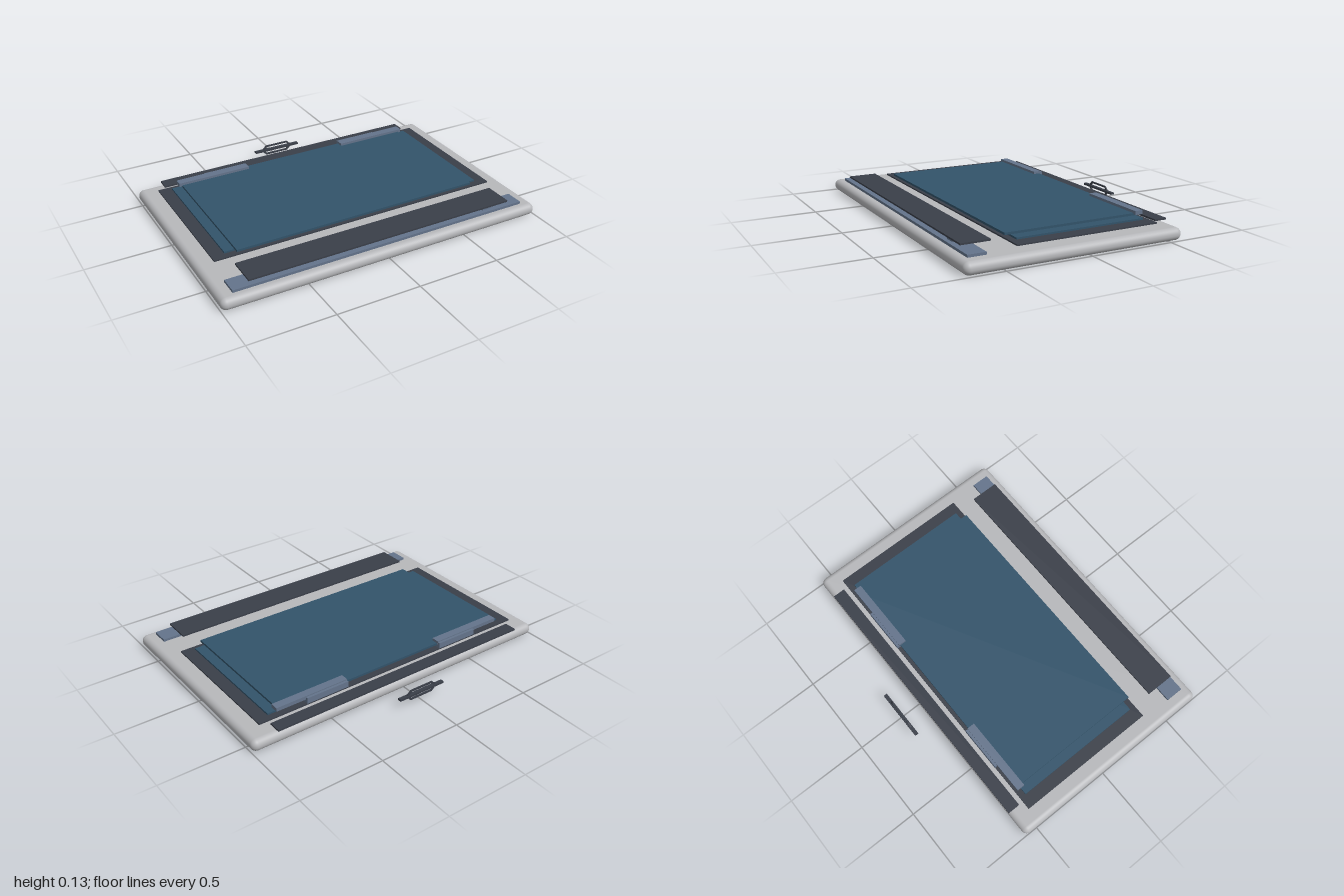
import * as THREE from 'three';
import { RoundedBoxGeometry } from 'three/addons/geometries/RoundedBoxGeometry.js';

export function createModel() {
  const model = new THREE.Group();
  model.name = 'deviceAssembly';

  const material = (name, color) => {
    const m = new THREE.MeshStandardMaterial({ color });
    m.name = name;
    return m;
  };
  const silver = material('silver', 0xb7b8bb);
  const charcoal = material('charcoal', 0x3a3f49);
  const glass = material('blueGlass', 0x32536a);
  const slate = material('slate', 0x64748b);

  const add = (name, geometry, mat) => {
    const mesh = new THREE.Mesh(geometry, mat);
    mesh.name = name;
    model.add(mesh);
    return mesh;
  };
  // Box given by its limits on each axis
  const box = (name, mat, [x0, x1], [y0, y1], [z0, z1]) => {
    const mesh = add(name, new THREE.BoxGeometry(x1 - x0, y1 - y0, z1 - z0), mat);
    mesh.position.set((x0 + x1) / 2, (y0 + y1) / 2, (z0 + z1) / 2);
    return mesh;
  };

  // Body slab with rounded rim
  const body = add('body', new RoundedBoxGeometry(2, 0.072, 1.304, 6, 0.035), silver);
  body.position.set(0, 0.036, 0.071);

  // Front strips and the small catch between them
  box('frontRail', slate, [-0.92, 0.92], [0.072, 0.087], [0.567, 0.673]);
  box('frontCover', charcoal, [-0.827, 0.827], [0.108, 0.118], [0.496, 0.667]);
  box('frontCatch', slate, [0.655, 0.72], [0.094, 0.108], [0.627, 0.658]);

  // Rear strip
  box('rearCover', charcoal, [-0.848, 0.848], [0.08, 0.09], [-0.581, -0.506]);

  // Layered display
  box('displayBezel', charcoal, [-0.9, 0.9], [0.083, 0.091], [-0.478, 0.387]);
  box('lowerPanel', glass, [-0.826, 0.826], [0.092, 0.102], [-0.441, 0.35]);
  box('upperPanel', glass, [-0.768, 0.768], [0.105, 0.118], [-0.458, 0.388]);

  // Hinges, mirrored left and right
  for (const s of [-1, 1]) {
    const span = (a, b) => (s > 0 ? [a, b] : [-b, -a]);
    const side = s > 0 ? 'left' : 'right';
    box(side + 'HingeArm', slate, span(0.328, 0.785), [0.111, 0.133], [-0.466, -0.418]);
    box(side + 'HingeBlock', slate, span(0.33, 0.6), [0.092, 0.127], [-0.481, -0.438]);
  }

  // Detached emblem plate: chamfered ring crossed by a bar
  const outline = (path, w, h, c) => {
    const points = [
      [w, h - c], [w - c, h], [c - w, h], [-w, h - c],
      [-w, c - h], [c - w, -h], [w - c, -h], [w, c - h],
    ];
    path.setFromPoints(points.map(([x, y]) => new THREE.Vector2(x, y)));
    path.closePath();
    return path;
  };
  const ringShape = outline(new THREE.Shape(), 0.1, 0.032, 0.024);
  ringShape.holes.push(outline(new THREE.Path(), 0.086, 0.022, 0.017));
  const ring = add('rearRing', new THREE.ExtrudeGeometry(ringShape, { depth: 0.008, bevelEnabled: false }), charcoal);
  ring.position.set(0, 0.058, -0.711);
  box('rearRingBar', charcoal, [-0.154, 0.154], [0.052, 0.064], [-0.718, -0.696]);

  return model;
}
